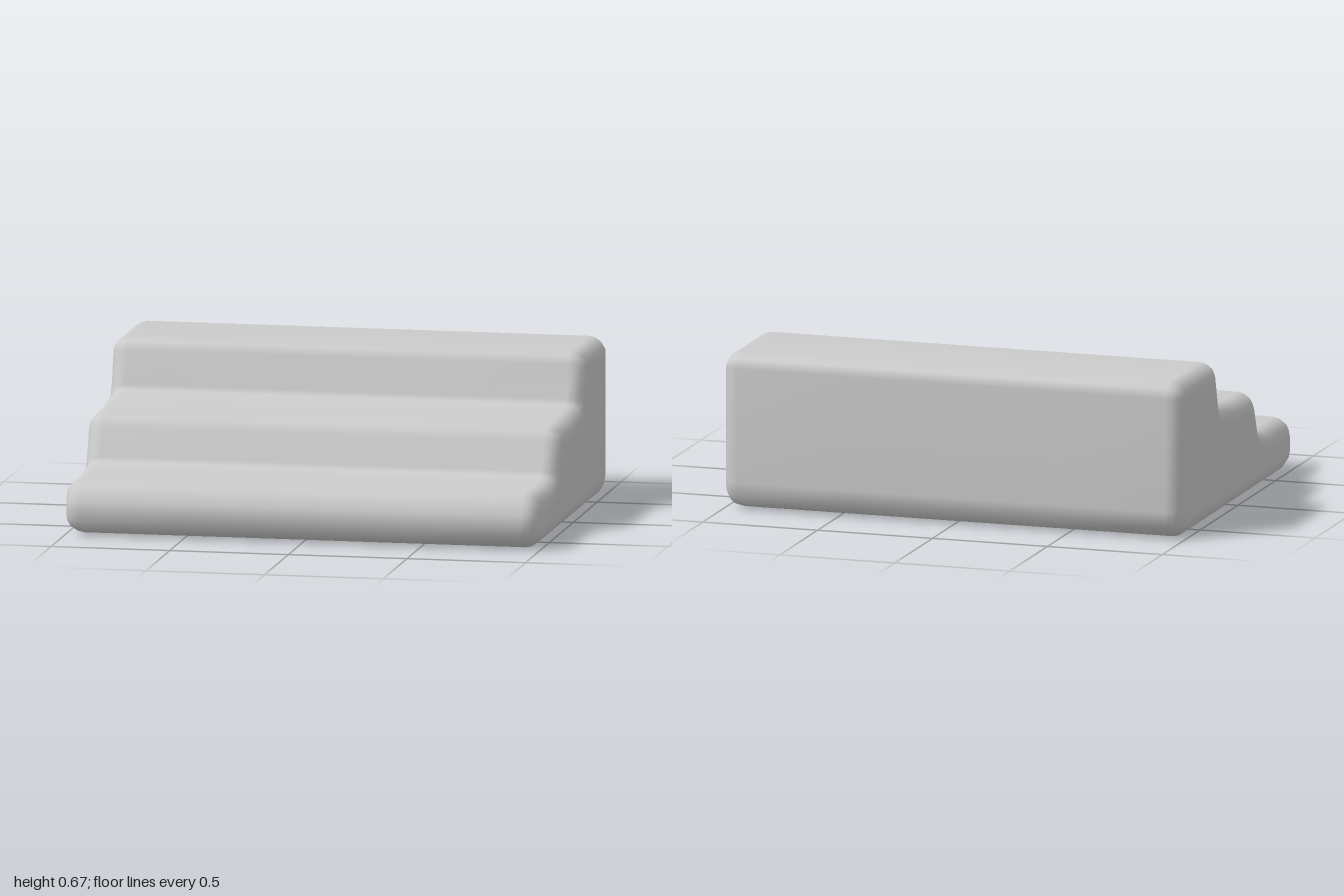
import * as THREE from 'three';
import { mergeVertices } from 'three/addons/utils/BufferGeometryUtils.js';

const LENGTH = 2;
const ROUND = 0.07;

// Side outline of the steps as [z, y], from the bottom front edge round the back
const PROFILE = [
  [0.65, 0.003], [-0.65, 0], [-0.7, 0.015], [-0.74, 0.055], [-0.753, 0.12],
  [-0.748, 0.6], [-0.735, 0.64], [-0.68, 0.665],
  [-0.3, 0.664], [-0.265, 0.65], [-0.245, 0.618],
  [-0.205, 0.48], [-0.19, 0.458], [0, 0.437],
  [0.21, 0.432], [0.24, 0.417], [0.267, 0.383],
  [0.313, 0.265], [0.33, 0.245], [0.42, 0.231],
  [0.67, 0.231], [0.72, 0.208], [0.748, 0.15], [0.752, 0.11],
  [0.742, 0.06], [0.715, 0.022],
];

function createSteps() {
  const shape = new THREE.Shape(PROFILE.map(([z, y]) => new THREE.Vector2(-z, y)));
  // The bevel rounds both ends inward, so the outline keeps its size
  let geometry = new THREE.ExtrudeGeometry(shape, {
    depth: LENGTH - 2 * ROUND,
    steps: 4,
    bevelEnabled: true,
    bevelThickness: ROUND,
    bevelSize: ROUND,
    bevelOffset: -ROUND,
    bevelSegments: 4,
  });
  geometry.translate(0, 0, ROUND - LENGTH / 2);
  geometry.rotateY(Math.PI / 2);

  // Weld all corners for a soft, continuous surface
  geometry.deleteAttribute('uv');
  geometry.deleteAttribute('normal');
  geometry = mergeVertices(geometry, 1e-4);
  geometry.computeVertexNormals();

  const mesh = new THREE.Mesh(geometry, new THREE.MeshStandardMaterial({ color: 0xcccccc }));
  mesh.name = 'softSteps';
  return mesh;
}

export function createModel() {
  const model = new THREE.Group();
  model.name = 'threeStepBlock';
  model.add(createSteps());
  return model;
}
